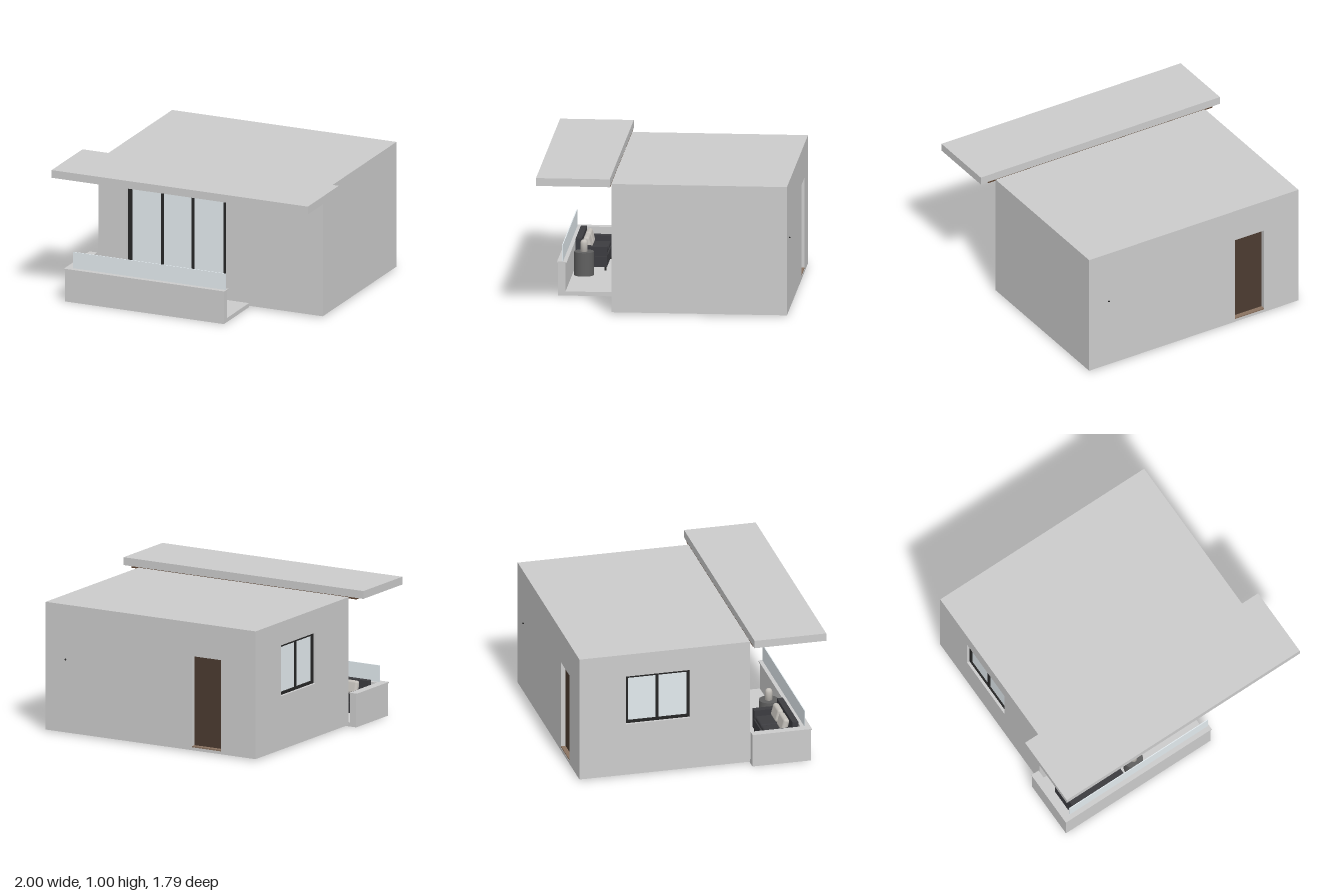
import * as THREE from 'three';
import { RoundedBoxGeometry } from 'three/addons/geometries/RoundedBoxGeometry.js';

const mat = (color) => new THREE.MeshStandardMaterial({ color });
const GREY = mat(0xcccccc), DARK = mat(0x262626), GLASS = mat(0xe2eaee), WOOD = mat(0x4b3b30);
const SOFFIT = mat(0x5f4634), SOFA = mat(0x3c3c40), DRUM = mat(0x606060), CUSHION = mat(0xc4c0ba);
const T = 0.06; // wall thickness

function add(parent, name, geometry, material, x = 0, y = 0, z = 0) {
  const mesh = new THREE.Mesh(geometry, material);
  mesh.name = name;
  mesh.position.set(x, y, z);
  parent.add(mesh);
  return mesh;
}

// Box given by its minimum and maximum on each axis
function box(parent, name, material, x0, x1, y0, y1, z0, z1) {
  return add(parent, name, new THREE.BoxGeometry(x1 - x0, y1 - y0, z1 - z0), material,
    (x0 + x1) / 2, (y0 + y1) / 2, (z0 + z1) / 2);
}

function rect(Type, x0, x1, y0, y1) {
  const p = new Type();
  p.moveTo(x0, y0);
  p.lineTo(x1, y0);
  p.lineTo(x1, y1);
  p.lineTo(x0, y1);
  p.closePath();
  return p;
}

// Wall panel with one rectangular opening
function wallGeometry(u0, u1, hole) {
  const shape = rect(THREE.Shape, u0, u1, 0.01, 0.94);
  shape.holes.push(rect(THREE.Path, ...hole));
  return new THREE.ExtrudeGeometry(shape, { depth: T, bevelEnabled: false });
}

// Framed glazing, centred on its own origin, with evenly spaced bars
function glazing(name, w, h, rail, panes) {
  const g = new THREE.Group();
  g.name = name;
  const d = 0.015;
  for (const s of [-1, 1]) {
    const x = s * (w - rail) / 2, y = s * (h - rail) / 2;
    box(g, 'frameJamb', DARK, x - rail / 2, x + rail / 2, -h / 2, h / 2, -d, d);
    box(g, 'frameRail', DARK, -w / 2 + rail, w / 2 - rail, y - rail / 2, y + rail / 2, -d, d);
  }
  const inner = w - 2 * rail;
  for (let i = 1; i < panes; i++) {
    const x = -inner / 2 + inner * i / panes;
    box(g, 'mullion', DARK, x - 0.01, x + 0.01, -h / 2 + rail, h / 2 - rail, -d, d);
  }
  box(g, 'glassPane', GLASS, -inner / 2, inner / 2, -h / 2 + rail, h / 2 - rail, -0.004, 0.004);
  return g;
}

function house() {
  const g = new THREE.Group();
  g.name = 'house';
  add(g, 'frontWall', wallGeometry(-0.875, 0.875, [-0.655, 0.12, 0.03, 0.8]), GREY, 0, 0, 0.37 - T);
  add(g, 'backWall', wallGeometry(-0.875, 0.875, [-0.588, -0.345, 0.03, 0.695]), GREY, 0, 0, -0.88);
  add(g, 'sideWindowWall', wallGeometry(-0.88 + T, 0.37 - T, [-0.54, -0.07, 0.4, 0.77]), GREY, -0.875 + T)
    .rotation.y = -Math.PI / 2;
  box(g, 'plainSideWall', GREY, 0.875 - T, 0.875, 0.01, 0.94, -0.88 + T, 0.37 - T);
  box(g, 'floor', GREY, -0.875 + T, 0.875 - T, 0.01, 0.03, -0.88 + T, 0.37 - T);
  box(g, 'roof', GREY, -0.875 + T, 0.875 - T, 0.9, 0.94, -0.88 + T, 0.37 - T);

  // Glazing set back in the openings
  const slider = glazing('slidingDoor', 0.775, 0.77, 0.03, 3);
  slider.position.set(-0.2675, 0.415, 0.335);
  const side = glazing('sideWindow', 0.47, 0.37, 0.02, 2);
  side.position.set(-0.84, 0.585, -0.305);
  side.rotation.y = -Math.PI / 2;
  g.add(slider, side);

  // Back door and the small wall fitting beside it
  box(g, 'backDoor', WOOD, -0.588, -0.345, 0.03, 0.695, -0.845, -0.825);
  box(g, 'doorThreshold', mat(0x8a7361), -0.588, -0.345, 0.03, 0.04, -0.878, -0.845);
  add(g, 'wallFitting', new THREE.ConeGeometry(0.007, 0.014, 12), DARK, 0.71, 0.54, -0.887)
    .rotation.x = -Math.PI / 2;
  return g;
}

function canopy() {
  const g = new THREE.Group();
  g.name = 'canopy';
  box(g, 'canopySlab', GREY, -1, 1, 0.943, 1, 0.37, 0.895);
  box(g, 'canopySoffit', SOFFIT, -0.94, 0.935, 0.931, 0.943, 0.372, 0.855);
  return g;
}

function balcony() {
  const g = new THREE.Group();
  g.name = 'balcony';
  box(g, 'balconyFloor', GREY, -0.94, 0.3, 0, 0.03, 0.37, 0.745);
  box(g, 'frontParapet', GREY, -0.94, 0.3, 0, 0.237, 0.745, 0.797);
  box(g, 'endParapet', GREY, -0.94, -0.89, 0.03, 0.237, 0.37, 0.745);
  box(g, 'frontCoping', GREY, -0.946, 0.306, 0.237, 0.246, 0.735, 0.805);
  box(g, 'endCoping', GREY, -0.946, -0.884, 0.237, 0.246, 0.37, 0.735);
  box(g, 'glassRailing', GLASS, -0.89, 0.3, 0.246, 0.367, 0.763, 0.769);
  return g;
}

function furniture() {
  const g = new THREE.Group();
  g.name = 'balconyFurniture';
  // Sofa with its back to the parapet
  const x0 = -0.84, x1 = -0.4;
  box(g, 'sofaBase', SOFA, x0, x1, 0.06, 0.133, 0.51, 0.733);
  box(g, 'sofaBack', SOFA, x0, x1, 0.133, 0.262, 0.69, 0.733);
  for (const x of [x0, x1 - 0.05]) {
    box(g, 'sofaArm', SOFA, x, x + 0.05, 0.136, 0.205, 0.51, 0.69);
    for (const z of [0.515, 0.715]) box(g, 'sofaLeg', DARK, x + 0.015, x + 0.03, 0.03, 0.06, z, z + 0.015);
  }
  for (const x of [-0.705, -0.535]) {
    add(g, 'seatCushion', new RoundedBoxGeometry(0.165, 0.035, 0.17, 2, 0.012), SOFA, x, 0.15, 0.6);
    add(g, 'backCushion', new RoundedBoxGeometry(0.15, 0.1, 0.045, 3, 0.02), CUSHION, x, 0.212, 0.655)
      .rotation.x = 0.25;
  }
  // Drum table with a domed lantern
  add(g, 'drumTable', new THREE.CylinderGeometry(0.07, 0.07, 0.17, 32), DRUM, -0.27, 0.115, 0.662);
  const dome = [[0, 0.2], [0.026, 0.2], [0.026, 0.26], [0.022, 0.275], [0.013, 0.284], [0, 0.287]]
    .map(([r, y]) => new THREE.Vector2(r, y));
  add(g, 'lantern', new THREE.LatheGeometry(dome, 24), CUSHION, -0.27, 0, 0.662);
  return g;
}

export function createModel() {
  const model = new THREE.Group();
  model.name = 'houseWithBalcony';
  model.add(house(), canopy(), balcony(), furniture());
  return model;
}
